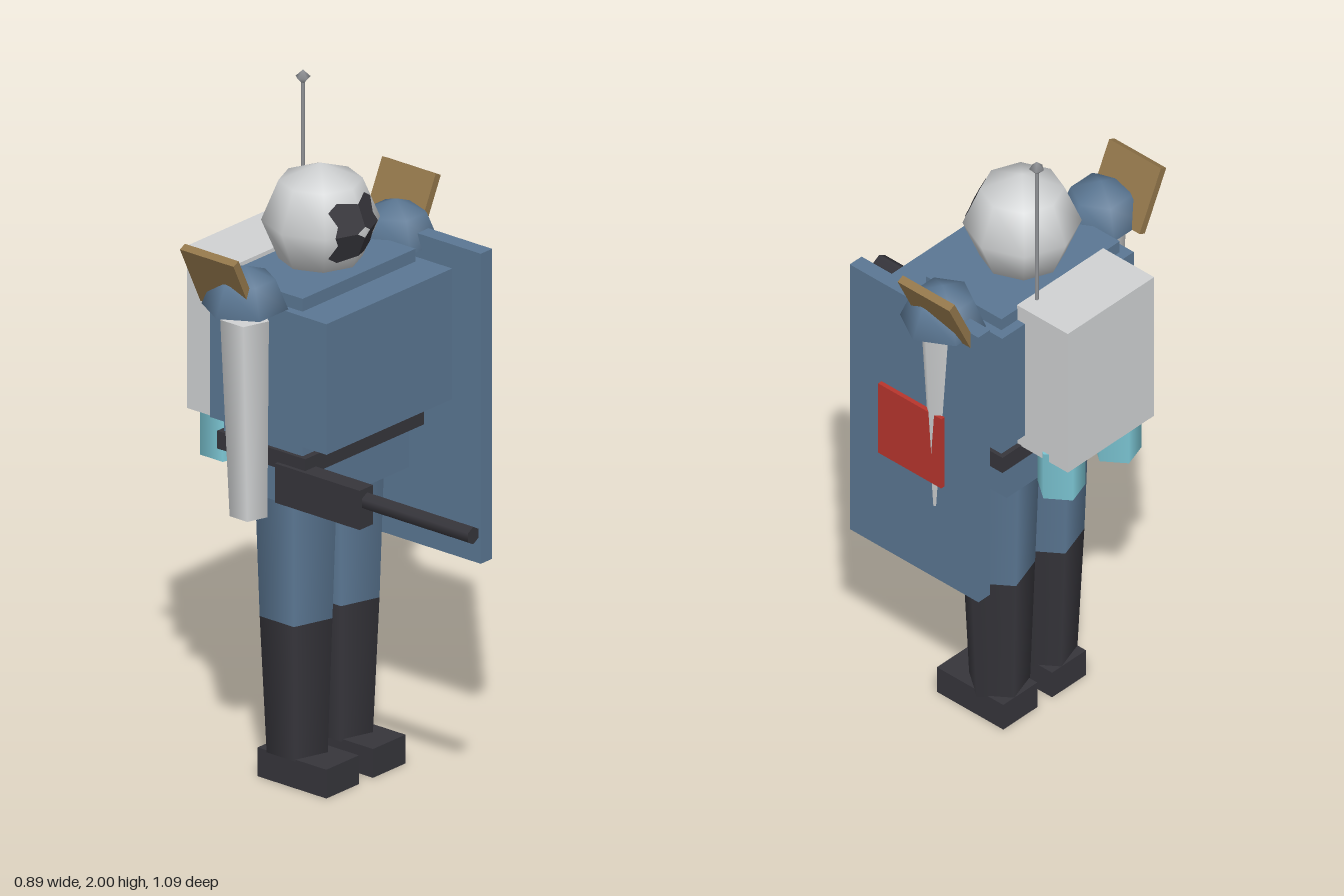
import * as THREE from 'three';

const mat = (name, color) => {
  const m = new THREE.MeshStandardMaterial({ color });
  m.name = name;
  return m;
};

export function createModel() {
  const blue = mat('armour blue', 0x5b7793);
  const dark = mat('charcoal', 0x36353b);
  const pale = mat('pale grey', 0xd0d2d3);
  const gold = mat('dull gold', 0x92764a);
  const red = mat('red', 0xb8352d);
  const cyan = mat('cyan', 0x7cc6d4);
  const steel = mat('steel', 0x94969a);
  dark.side = THREE.DoubleSide;

  const model = new THREE.Group();
  model.name = 'armouredFigure';
  const Z = -0.21; // depth of the body axis

  const add = (name, geometry, material) => {
    const mesh = new THREE.Mesh(geometry, material);
    mesh.name = name;
    model.add(mesh);
    return mesh;
  };
  // Box given by its lower and upper limits on each axis
  const box = (name, material, [x0, x1], [y0, y1], [z0, z1]) => {
    const g = new THREE.BoxGeometry(x1 - x0, y1 - y0, z1 - z0);
    g.translate((x0 + x1) / 2, (y0 + y1) / 2, (z0 + z1) / 2);
    return add(name, g, material);
  };
  // Five-sided tapering limb, sheared so that its ends sit at xTop and xBottom
  const limb = (name, material, xTop, yTop, rTop, xBot, yBot, rBot, z = Z) => {
    const h = yTop - yBot;
    const g = new THREE.CylinderGeometry(rTop, rBot, h, 5).rotateY(Math.PI / 2);
    const p = g.attributes.position;
    for (let i = 0; i < p.count; i++) {
      const t = p.getY(i) / h + 0.5;
      p.setX(i, p.getX(i) + xBot + (xTop - xBot) * t);
    }
    g.translate(0, (yTop + yBot) / 2, z);
    return add(name, g, material);
  };

  // Trunk
  box('torso', blue, [-0.24, 0.24], [1.0, 1.508], [-0.355, -0.07]);
  box('chestArmour', blue, [-0.267, 0.267], [1.08, 1.47], [-0.383, 0.04]);
  box('belt', dark, [-0.252, 0.252], [0.985, 1.038], [-0.37, -0.05]);
  box('pelvis', blue, [-0.213, 0.213], [0.865, 0.986], [-0.35, -0.07]);

  // Limbs and shoulders on both sides
  for (const s of [1, -1]) {
    const side = s > 0 ? 'left' : 'right';
    limb(side + 'Thigh', blue, s * 0.1, 0.93, 0.121, s * 0.1, 0.49, 0.106);
    limb(side + 'Shin', dark, s * 0.1, 0.49, 0.106, s * 0.096, 0.08, 0.089);
    const foot = [0.03, 0.168].map((v) => v * s).sort((a, b) => a - b);
    box(side + 'Boot', dark, foot, [0, 0.086], [-0.295, -0.045]);
    limb(side + 'Arm', pale, s * 0.32, 1.44, 0.071, s * 0.304, 0.847, 0.055);

    const dome = new THREE.SphereGeometry(0.122, 6, 2, 0, Math.PI * 2, 0, Math.PI / 2);
    add(side + 'ShoulderDome', dome, blue).position.set(s * 0.321, 1.474, Z);
    const base = new THREE.CircleGeometry(0.122, 6).rotateX(Math.PI / 2);
    add(side + 'ShoulderBase', base, blue).position.set(s * 0.321, 1.474, Z);

    const fin = add(side + 'ShoulderFin', new THREE.BoxGeometry(0.024, 0.2, 0.195), gold);
    fin.position.set(s * 0.386, 1.56, -0.247);
    fin.rotation.z = -s * 0.45;
  }

  // Head
  const R = 0.165;
  const headY = 1.638;
  add('head', new THREE.SphereGeometry(R, 8, 4), pale).position.set(0, headY, Z);

  // Visor: one quarter outline laid on the flat front facets and mirrored
  const quarter = [
    [0.026, 0], [0.09, 0], [0.074, 0.028], [0.089, 0.068], [0.058, 0.088], [0, 0.077], [0, 0.016],
  ].map(([x, y]) => new THREE.Vector2(x, y));
  for (const sx of [1, -1]) {
    for (const sy of [1, -1]) {
      const outline = quarter.map((v) => new THREE.Vector2(v.x * sx, v.y * sy));
      const g = new THREE.ShapeGeometry(new THREE.Shape(outline));
      const p = g.attributes.position;
      for (let i = 0; i < p.count; i++) {
        p.setZ(i, R + 0.004 - (Math.SQRT2 - 1) * (Math.abs(p.getX(i)) + Math.abs(p.getY(i))));
      }
      g.computeVertexNormals();
      add('visor', g, dark).position.set(0, headY, Z);
    }
  }

  // Backpack with thrusters and antenna
  box('backpack', pale, [-0.175, 0.175], [1.035, 1.52], [-0.545, -0.353]);
  for (const s of [1, -1]) {
    limb('thruster', cyan, s * 0.114, 1.06, 0.07, s * 0.114, 0.906, 0.07, -0.461);
  }
  const mast = new THREE.CylinderGeometry(0.006, 0.006, 0.5, 5);
  add('antennaMast', mast, steel).position.set(0.118, 1.73, -0.375);
  const tip = new THREE.SphereGeometry(0.022, 5, 2);
  add('antennaTip', tip, steel).position.set(0.118, 1.978, -0.375);

  // Shield on the left arm
  box('shield', blue, [0.307, 0.355], [0.594, 1.52], [-0.375, 0.11]);
  box('shieldPanel', red, [0.35, 0.369], [0.933, 1.175], [-0.248, -0.01]);

  // Gun in the right hand
  box('gunBody', dark, [-0.264, -0.207], [0.886, 1.003], [-0.15, 0.158]);
  const barrel = new THREE.CylinderGeometry(0.026, 0.026, 0.4, 6).rotateX(Math.PI / 2);
  add('gunBarrel', barrel, dark).position.set(-0.232, 0.963, 0.344);

  return model;
}
